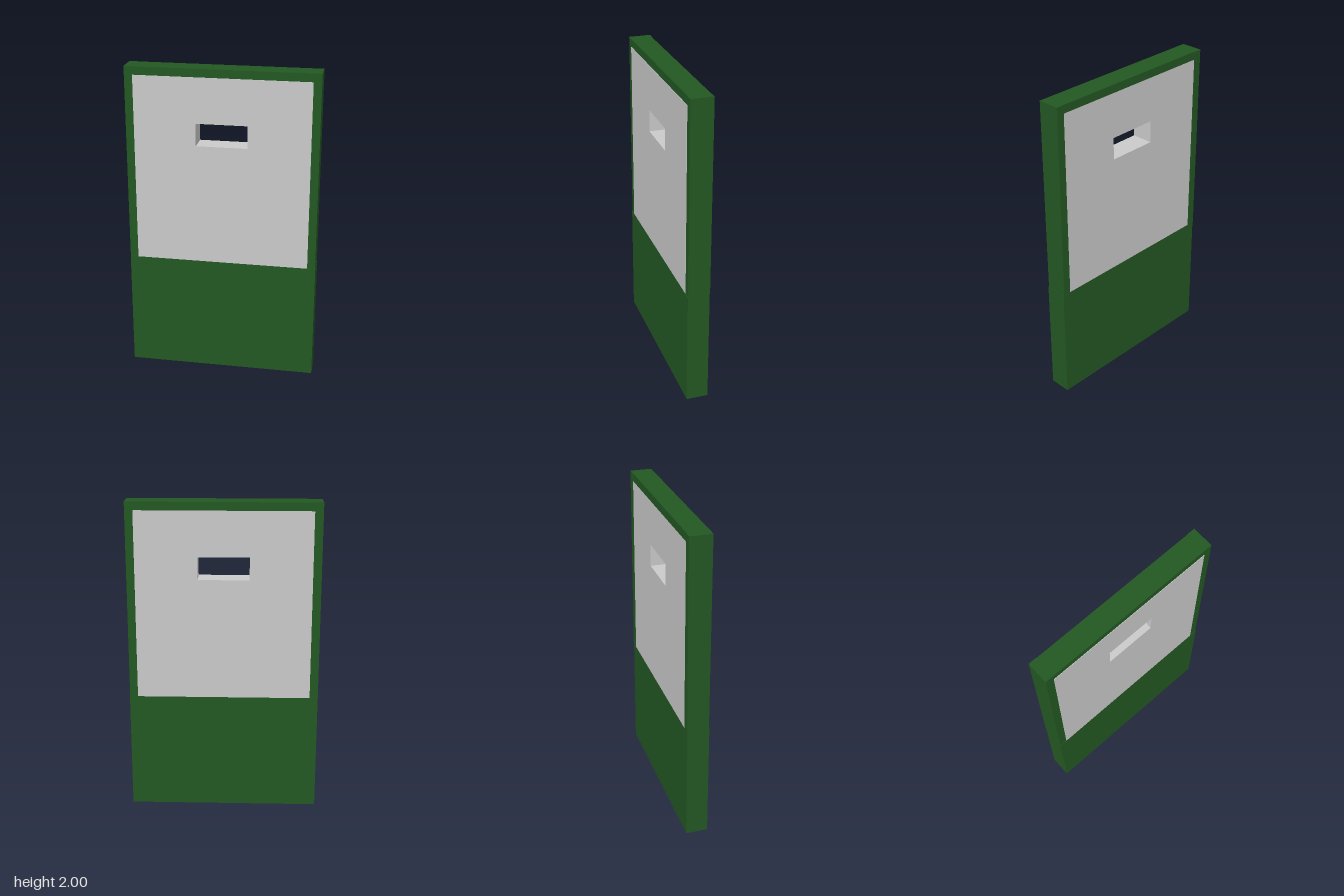
import * as THREE from 'three';

export function createModel() {
  const group = new THREE.Group();
  const green = new THREE.MeshStandardMaterial({ color: 0x235823 });
  green.name = 'dark green';
  const grey = new THREE.MeshStandardMaterial({ color: 0xcacaca });
  grey.name = 'light grey';

  const add = (name, geometry, material) => {
    const mesh = new THREE.Mesh(geometry, material);
    mesh.name = name;
    group.add(mesh);
  };
  // Box given by its extents on each axis
  const block = (x0, x1, y0, y1, z0, z1) =>
    new THREE.BoxGeometry(x1 - x0, y1 - y0, z1 - z0)
      .translate((x0 + x1) / 2, (y0 + y1) / 2, (z0 + z1) / 2);
  const rect = (path, x, y0, y1) => {
    path.moveTo(-x, y0).lineTo(x, y0).lineTo(x, y1).lineTo(-x, y1).closePath();
    return path;
  };

  const split = 0.752, inner = 0.548, rail = 1.948;

  // Solid lower panel, a hair proud of the frame at the front
  add('lowerPanel', block(-0.6, 0.6, 0, split, -0.067, 0.071), green);

  // Frame around the upper panel
  add('rightPost', block(-0.6, -inner, split, 2, -0.07, 0.068), green);
  add('leftPost', block(inner, 0.598, split, 2, -0.07, 0.068), green);
  add('topRail', block(-inner, inner, rail, 2, -0.068, 0.068), green);

  // Upper panel with a slot right through it
  const shape = rect(new THREE.Shape(), inner, split, rail);
  shape.holes.push(rect(new THREE.Path(), 0.16, 1.52, 1.662));
  const panel = new THREE.ExtrudeGeometry(shape, { depth: 0.138, bevelEnabled: false });
  panel.translate(0, 0, -0.067);
  add('upperPanel', panel, grey);

  return group;
}
